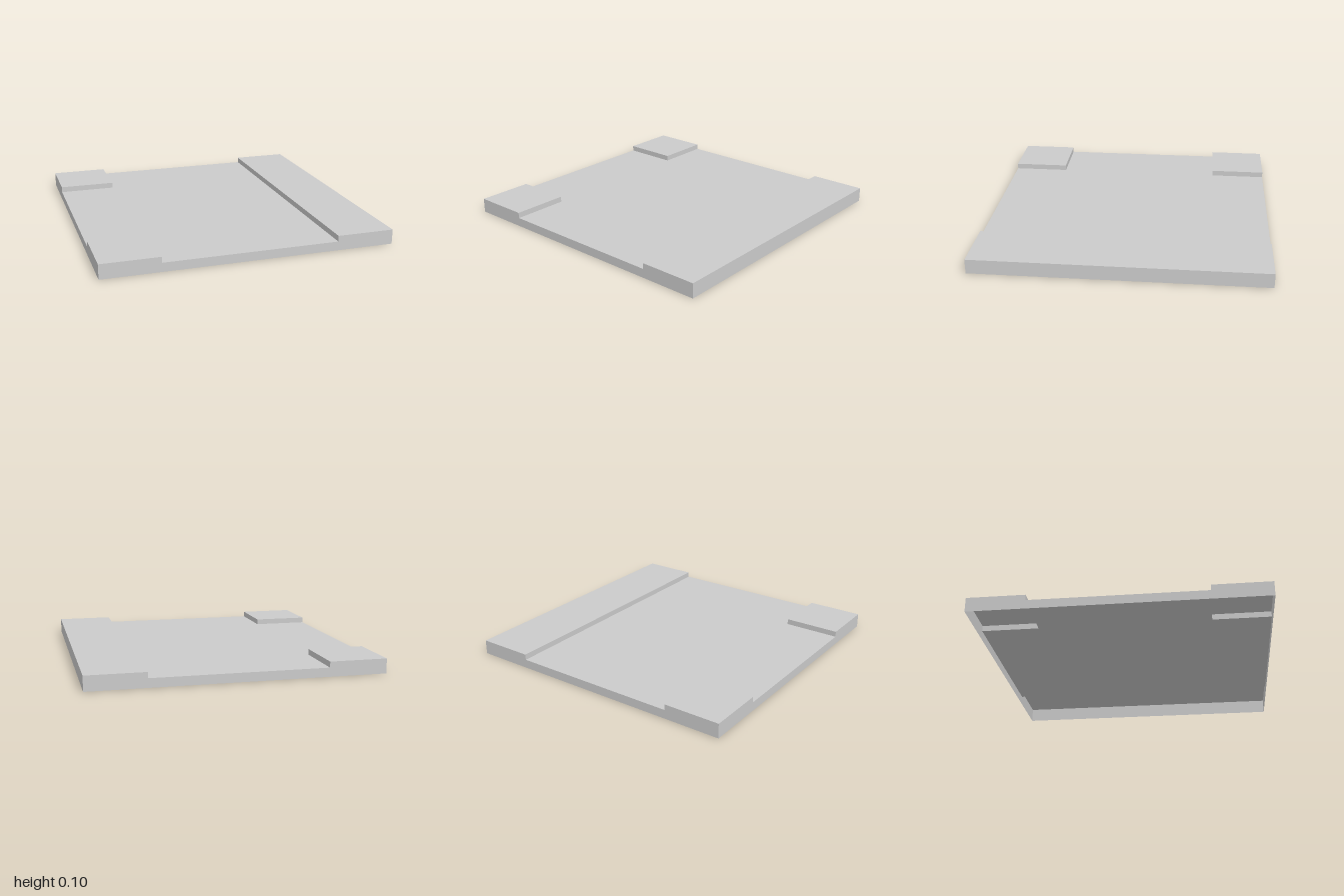
import * as THREE from 'three';

const TOP = 0.102;   // height of raised areas
const DECK = 0.062;  // height of sunken deck
const IN = 0.6;      // inner edge of raised areas

export function createModel() {
  const model = new THREE.Group();
  const material = new THREE.MeshStandardMaterial({
    color: 0xcccccc, flatShading: true, side: THREE.DoubleSide,
  });

  const add = (name, geometry, x, y, z) => {
    const mesh = new THREE.Mesh(geometry, material);
    mesh.name = name;
    mesh.position.set(x, y, z);
    model.add(mesh);
  };
  const outline = (points) =>
    new THREE.ShapeGeometry(new THREE.Shape(points.map(([x, y]) => new THREE.Vector2(x, y))));
  const flat = (w, d) => new THREE.PlaneGeometry(w, d).rotateX(-Math.PI / 2);
  const riser = (w, turn) => new THREE.PlaneGeometry(w, TOP - DECK).rotateY(turn);
  const mid = (TOP + DECK) / 2;
  const padSize = 1 - IN, padMid = (1 + IN) / 2;

  // Sunken deck, cut around the two corner pads
  add('deck', outline([
    [-IN, -1], [IN, -1], [IN, 1], [-IN, 1], [-IN, IN], [-1, IN], [-1, -IN], [-IN, -IN],
  ]).rotateX(-Math.PI / 2), 0, DECK, 0);

  // Raised strip along the left side
  add('stripTop', flat(padSize, 2), padMid, TOP, 0);
  add('stripStep', riser(2, -Math.PI / 2), IN, mid, 0);

  // Raised corner pads on the right side
  for (const s of [-1, 1]) {
    const side = s > 0 ? 'front' : 'back';
    add(side + 'PadTop', flat(padSize, padSize), -padMid, TOP, s * padMid);
    add(side + 'PadSideStep', riser(padSize, Math.PI / 2), -IN, mid, s * padMid);
    add(side + 'PadInnerStep', riser(padSize, s > 0 ? Math.PI : 0), -padMid, mid, s * IN);
  }

  // Thin outer walls; the underside stays open
  const notched = () => outline([
    [-1, 0], [1, 0], [1, TOP], [IN, DECK + TOP - DECK], [IN, DECK], [-IN, DECK], [-IN, TOP], [-1, TOP],
  ]);
  add('frontWall', notched(), 0, 0, 1);
  add('backWall', notched().rotateY(Math.PI), 0, 0, -1);
  add('rightWall', notched().rotateY(-Math.PI / 2), -1, 0, 0);
  add('leftWall', new THREE.PlaneGeometry(2, TOP).rotateY(Math.PI / 2), 1, TOP / 2, 0);

  return model;
}
